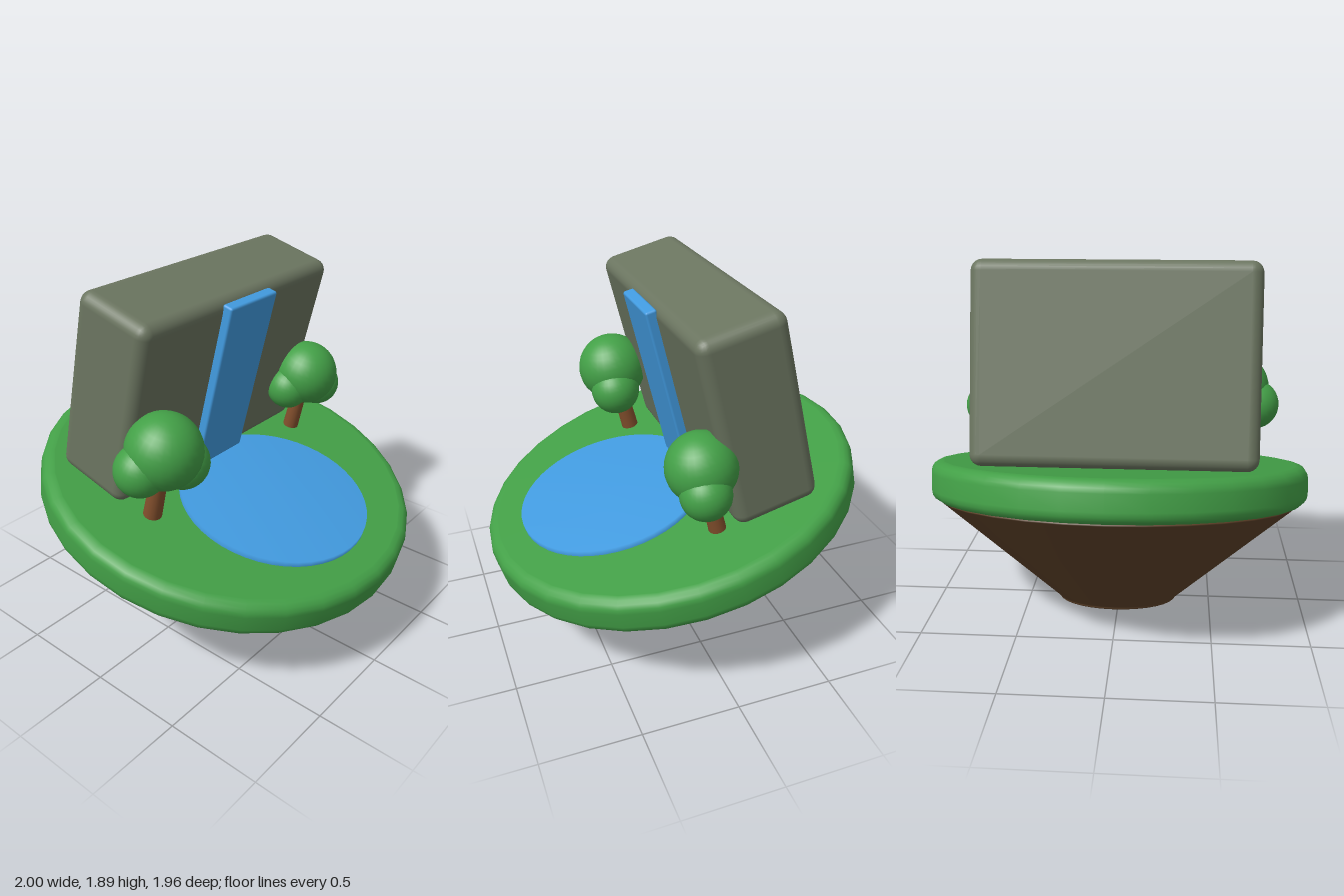
import * as THREE from 'three';
import { RoundedBoxGeometry } from 'three/addons/geometries/RoundedBoxGeometry.js';

const material = (name, color) => {
  const m = new THREE.MeshStandardMaterial({ color });
  m.name = name;
  return m;
};

// Turned solid with rounded rims: r0 at the bottom y0, r1 at the top y1
function roundedDisc(r0, y0, r1, y1, bevel, sides = 32) {
  const pts = [new THREE.Vector2(0, y0), new THREE.Vector2(r0 - bevel - 0.004, y0)];
  const steps = 4;
  for (let i = 0; i <= steps; i++) {
    const a = (i / steps) * Math.PI / 2;
    pts.push(new THREE.Vector2(r0 - bevel + bevel * Math.sin(a), y0 + bevel - bevel * Math.cos(a)));
  }
  for (let i = 0; i <= steps; i++) {
    const a = (i / steps) * Math.PI / 2;
    pts.push(new THREE.Vector2(r1 - bevel + bevel * Math.cos(a), y1 - bevel + bevel * Math.sin(a)));
  }
  pts.push(new THREE.Vector2(r1 - bevel - 0.004, y1), new THREE.Vector2(0, y1));
  return new THREE.LatheGeometry(pts, sides);
}

export function createModel() {
  const grass = material('grass', 0x43a047);
  const dirt = material('dirt', 0x5d4128);
  const stone = material('stone', 0x6b7560);
  const water = material('water', 0x429be0);
  const bark = material('bark', 0x84502d);
  const leaves = material('leaves', 0x43a047);

  const model = new THREE.Group();
  model.name = 'floatingIsland';

  // The whole island leans forward
  const island = new THREE.Group();
  island.name = 'island';
  island.rotation.x = THREE.MathUtils.degToRad(14);
  island.position.set(0, 0.041, -0.164);
  model.add(island);

  const add = (parent, name, geometry, mat, x = 0, y = 0, z = 0) => {
    const mesh = new THREE.Mesh(geometry, mat);
    mesh.name = name;
    mesh.position.set(x, y, z);
    parent.add(mesh);
    return mesh;
  };

  // Ground
  const ground = 0.78;
  add(island, 'earthBase', roundedDisc(0.315, 0.036, 0.945, 0.585, 0.015), dirt);
  add(island, 'grassTop', roundedDisc(1, 0.578, 1, ground, 0.06), grass);

  // Pond with a soft rim
  const pondProfile = [[0.5, 0.77], [0.5, 0.81], [0, 0.81]].map(([r, y]) => new THREE.Vector2(r, y));
  add(island, 'pond', new THREE.LatheGeometry(pondProfile, 48), water, 0, 0, 0.3);

  // Cliff and waterfall
  add(island, 'cliff', new RoundedBoxGeometry(1.4, 1, 0.44, 3, 0.06), stone, 0, 1.278, -0.353);
  add(island, 'waterfall', new RoundedBoxGeometry(0.35, 0.95, 0.06, 2, 0.012), water, 0, 1.287, -0.115);

  // Trees: a tapered trunk and three leaf balls [x, y, z, radius]
  const balls = [[0, 0.4, 0, 0.19], [-0.11, 0.315, -0.03, 0.13], [0.105, 0.31, 0.04, 0.135]];
  const addTree = (name, x, z, scale) => {
    const tree = new THREE.Group();
    tree.name = name;
    tree.position.set(x, ground, z);
    tree.scale.setScalar(scale);
    add(tree, 'trunk', new THREE.CylinderGeometry(0.042, 0.048, 0.32, 16), bark, 0, 0.155, 0);
    for (const [bx, by, bz, r] of balls) {
      add(tree, 'leafBall', new THREE.SphereGeometry(r, 28, 18), leaves, bx, by, bz);
    }
    island.add(tree);
  };
  addTree('rightTree', -0.6, 0, 1);
  addTree('leftTree', 0.617, -0.05, 0.92);

  return model;
}
